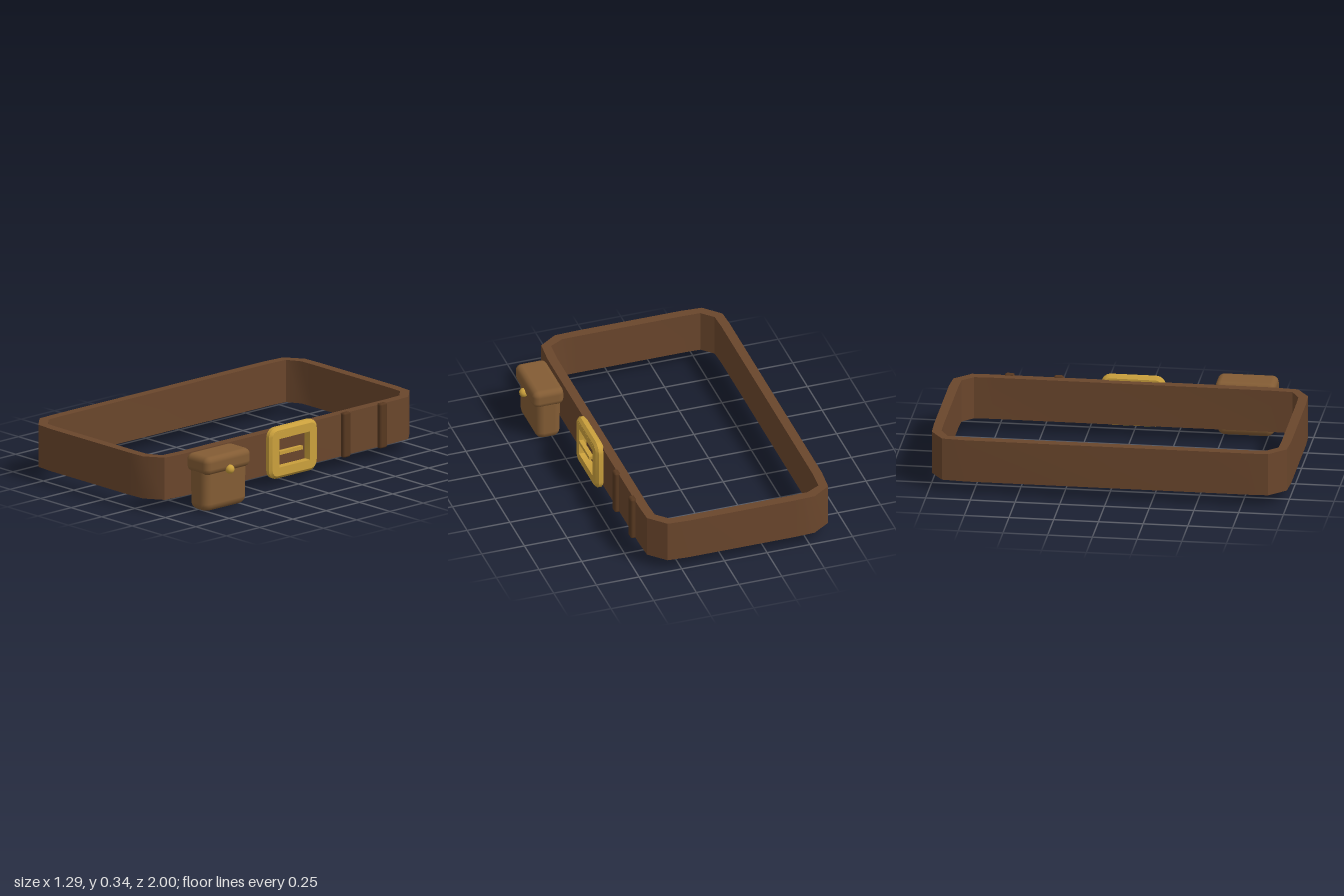
import * as THREE from 'three';
import { toCreasedNormals } from 'three/addons/utils/BufferGeometryUtils.js';
import { RoundedBoxGeometry } from 'three/addons/geometries/RoundedBoxGeometry.js';

const material = (name, color) => {
  const m = new THREE.MeshStandardMaterial({ color });
  m.name = name;
  return m;
};

function part(name, geometry, mat, x = 0, y = 0, z = 0) {
  const mesh = new THREE.Mesh(geometry, mat);
  mesh.name = name;
  mesh.position.set(x, y, z);
  return mesh;
}

// Half an outline in (x, z) about the belt centre, completed by a half turn.
// Reversed to run counter-clockwise, so that the hole's walls face inwards.
function turnedOutline(half, Type) {
  const all = [...half, ...half.map(([x, z]) => [-x, -z])];
  return new Type(all.map(([x, z]) => new THREE.Vector2(x, -z)).reverse());
}

// Rectangle with rounded corners, centred on the origin
function roundedRect(w, h, r, Type) {
  const s = new Type();
  const a = w / 2 - r, b = h / 2 - r;
  s.absarc(a, b, r, 0, Math.PI / 2);
  s.absarc(-a, b, r, Math.PI / 2, Math.PI);
  s.absarc(-a, -b, r, Math.PI, Math.PI * 1.5);
  s.absarc(a, -b, r, Math.PI * 1.5, Math.PI * 2);
  s.closePath();
  return s;
}

// Rectangular ring extruded along x
function ring(outer, hole, options) {
  const shape = roundedRect(...outer, THREE.Shape);
  shape.holes.push(roundedRect(...hole, THREE.Path));
  const geometry = new THREE.ExtrudeGeometry(shape, { curveSegments: 4, ...options });
  geometry.rotateY(Math.PI / 2);
  return toCreasedNormals(geometry, 0.5);
}

export function createModel() {
  const leather = material('belt leather', 0x6a462c);
  const pouchLeather = material('pouch leather', 0x835c34);
  const loopLeather = material('dark loop leather', 0x573820);
  const brass = material('brass', 0xcaa03c);

  const model = new THREE.Group();
  model.name = 'beltWithPouch';

  // Strap: a closed band with cut corners
  const centreX = -0.11;
  const band = turnedOutline([
    [-0.535, -0.785], [-0.523, -0.925], [-0.42, -0.995], [-0.3, -1],
    [0.32, -1], [0.44, -0.992], [0.53, -0.9], [0.535, -0.79],
  ], THREE.Shape);
  band.holes.push(turnedOutline([
    [-0.482, -0.78], [-0.475, -0.9], [-0.395, -0.944], [-0.3, -0.946],
    [0.32, -0.946], [0.415, -0.943], [0.477, -0.88], [0.482, -0.78],
  ], THREE.Path));
  const strap = new THREE.ExtrudeGeometry(band, { depth: 0.243, bevelEnabled: false });
  strap.rotateX(-Math.PI / 2);
  model.add(part('strap', toCreasedNormals(strap, 0.7), leather, centreX, 0.071, 0));

  // Buckle: rim bevelled outside, crisp inner frame, prong across the opening
  const buckle = new THREE.Group();
  buckle.name = 'buckle';
  buckle.add(part('buckleRim', ring([0.36, 0.294, 0.055], [0.27, 0.204, 0.003], {
    depth: 0.022, bevelThickness: 0.014, bevelSize: 0.016, bevelOffset: -0.016, bevelSegments: 1,
  }), brass, 0.432, 0.194, 0));
  buckle.add(part('buckleInnerFrame', ring([0.308, 0.242, 0.003], [0.23, 0.164, 0.003], {
    depth: 0.05, bevelEnabled: false,
  }), brass, 0.4185, 0.194, 0));
  buckle.add(part('buckleProng', new THREE.BoxGeometry(0.025, 0.02, 0.175), brass, 0.458, 0.194, 0.025));
  model.add(buckle);

  // Keeper loops behind the buckle
  [-0.415, -0.69].forEach((z, i) => {
    model.add(part('keeperLoop' + (i + 1),
      new RoundedBoxGeometry(0.036, 0.26, 0.055, 1, 0.012), loopLeather, 0.433, 0.193, z));
  });

  // Pouch: body, overhanging flap and stud
  const pouch = new THREE.Group();
  pouch.name = 'pouch';
  const body = new RoundedBoxGeometry(0.15, 0.29, 0.322, 2, 0.045);
  const p = body.attributes.position;
  for (let i = 0; i < p.count; i++) { // slight taper towards the bottom
    p.setX(i, p.getX(i) * (0.975 + 0.17 * p.getY(i)));
  }
  pouch.add(part('pouchBody', body, pouchLeather, 0.523, 0.147, 0.624));
  pouch.add(part('pouchFlap', new RoundedBoxGeometry(0.182, 0.105, 0.34, 2, 0.035),
    pouchLeather, 0.526, 0.271, 0.624));
  pouch.add(part('pouchStud', new THREE.SphereGeometry(0.026, 14, 10), brass, 0.619, 0.234, 0.624));
  model.add(pouch);

  return model;
}
